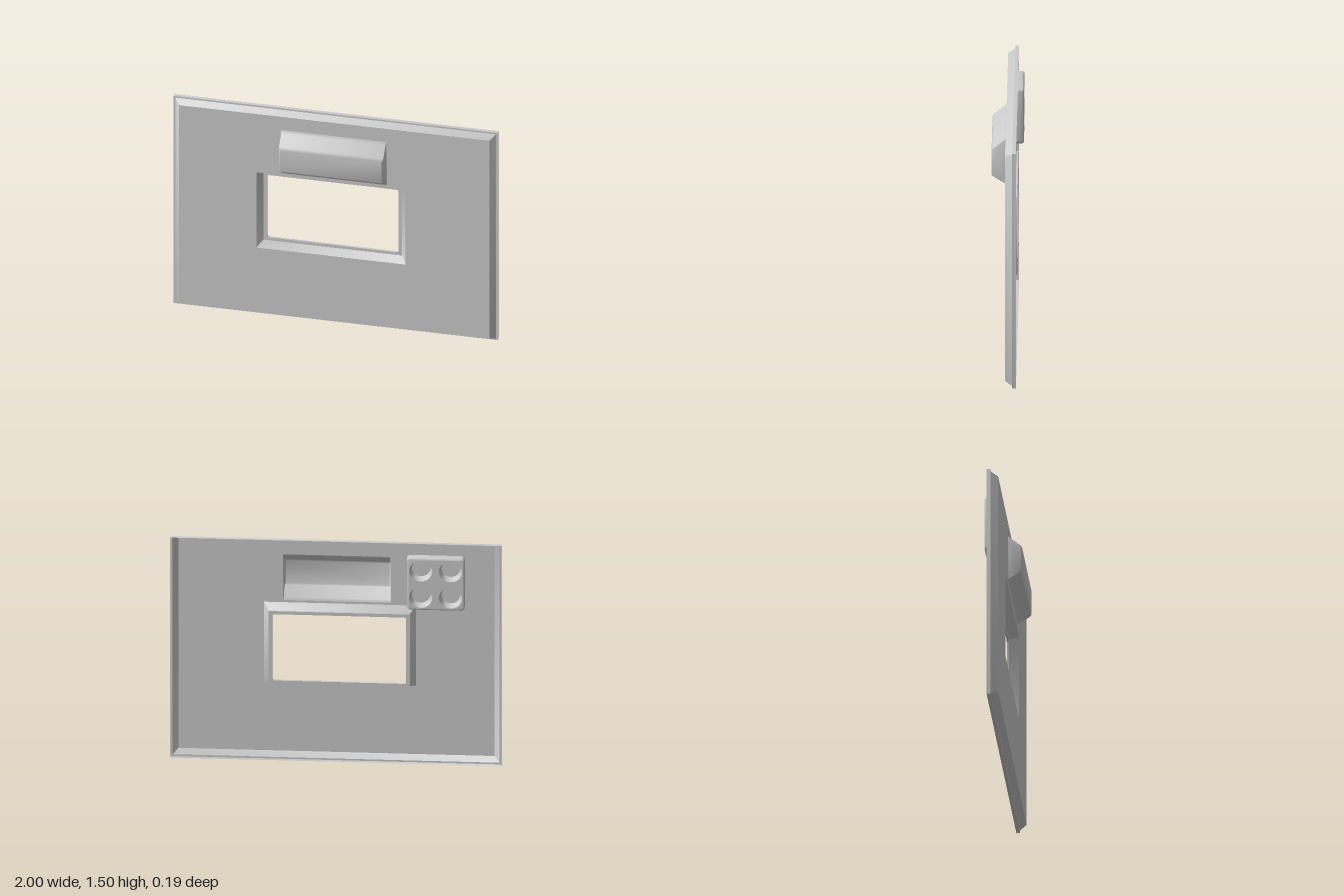
import * as THREE from 'three';
import { toCreasedNormals, mergeGeometries } from 'three/addons/utils/BufferGeometryUtils.js';

const material = new THREE.MeshStandardMaterial({ color: 0xcccccc, side: THREE.DoubleSide });

// Counter-clockwise rounded rectangle, always the same number of points
function outline([x0, x1, y0, y1, , r]) {
  const pts = [];
  const corners = [[x1 - r, y0 + r], [x1 - r, y1 - r], [x0 + r, y1 - r], [x0 + r, y0 + r]];
  corners.forEach(([cx, cy], i) => {
    for (let k = 0; k <= 4; k++) {
      const a = (i - 1 + k / 4) * Math.PI / 2;
      pts.push(new THREE.Vector2(cx + r * Math.cos(a), cy + r * Math.sin(a)));
    }
  });
  return pts;
}

// Walls joining a series of rings [x0, x1, y0, y1, z, radius]
function loft(rings) {
  const pos = [], index = [];
  const n = 20;
  for (const ring of rings) for (const p of outline(ring)) pos.push(p.x, p.y, ring[4]);
  for (let j = 0; j < rings.length - 1; j++) {
    for (let i = 0; i < n; i++) {
      const a = j * n + i, b = j * n + (i + 1) % n;
      index.push(a, b, b + n, a, b + n, a + n);
    }
  }
  const g = new THREE.BufferGeometry();
  g.setAttribute('position', new THREE.Float32BufferAttribute(pos, 3));
  g.setIndex(index);
  return g;
}

// Flat face filling a ring, with optional holes
function face(ring, holes = []) {
  const shape = new THREE.Shape(outline(ring));
  shape.holes = holes;
  return new THREE.ShapeGeometry(shape, 12).translate(0, 0, ring[4]);
}

function part(name, geometries) {
  const plain = geometries.map((g) => {
    const p = g.index ? g.toNonIndexed() : g;
    p.deleteAttribute('uv');
    p.deleteAttribute('normal');
    return p;
  });
  const mesh = new THREE.Mesh(toCreasedNormals(mergeGeometries(plain), 0.6), material);
  mesh.name = name;
  return mesh;
}

export function createModel() {
  const group = new THREE.Group();
  group.name = 'wallPanel';
  const front = 0.006, back = -0.06, sharp = 0.001;

  // Rings of the panel edge, window recess and raised hood
  const edge = [
    [-1, 1, 0, 1.5, back, sharp],
    [-1, 1, 0, 1.5, -0.038, sharp],
    [-0.988, 0.988, 0.011, 1.489, -0.038, sharp],
    [-0.957, 0.957, 0.033, 1.467, front, sharp],
  ];
  const recess = [
    [-0.48, 0.44, 0.5, 1.045, front, sharp],
    [-0.448, 0.408, 0.525, 1.018, -0.05, sharp],
    [-0.425, 0.385, 0.545, 0.997, -0.05, 0.014],
    [-0.425, 0.385, 0.545, 0.997, -0.063, 0.014],
    [-0.448, 0.408, 0.525, 1.018, -0.063, sharp],
    [-0.448, 0.408, 0.525, 1.018, -0.05, sharp],
  ];
  const hood = [
    [-0.33, 0.325, 1.06, 1.372, front, 0.008],
    [-0.326, 0.321, 1.068, 1.363, 0.009, 0.006],
    [-0.325, 0.32, 1.076, 1.356, 0.015, 0.005],
    [-0.325, 0.32, 1.118, 1.302, 0.082, 0.005],
    [-0.322, 0.317, 1.123, 1.295, 0.089, 0.005],
    [-0.315, 0.31, 1.131, 1.285, 0.094, 0.005],
  ];

  // Thin sheet with bevelled rim, open at the back
  const openings = [recess[0], hood[0]].map((r) => new THREE.Path(outline(r)));
  group.add(part('panel', [loft(edge), face(edge[3], openings)]));
  group.add(part('windowRecess', [loft(recess)]));
  group.add(part('hood', [loft(hood), face(hood[5])]));

  // Socket block behind the panel, with four tapered cups
  const block = [
    [-0.78, -0.43, 1.065, 1.42, -0.05, 0.022],
    [-0.78, -0.43, 1.065, 1.42, -0.082, 0.022],
    [-0.777, -0.433, 1.068, 1.417, -0.09, 0.02],
    [-0.77, -0.44, 1.075, 1.41, -0.094, 0.016],
  ];
  const cups = [], mouths = [];
  for (const sx of [-1, 1]) {
    for (const sy of [-1, 1]) {
      const x = -0.605 + sx * 0.09, y = 1.2425 + sy * 0.09;
      mouths.push(new THREE.Path().absarc(x, y, 0.07, 0, Math.PI * 2, true));
      cups.push(new THREE.CylinderGeometry(0.056, 0.07, 0.044, 24, 1, true)
        .rotateX(Math.PI / 2).translate(x, y, -0.072));
      cups.push(new THREE.CircleGeometry(0.056, 24).translate(x, y, -0.05));
    }
  }
  group.add(part('socketBlock', [loft(block), face(block[3], mouths)]));
  group.add(part('socketCups', cups));
  return group;
}
